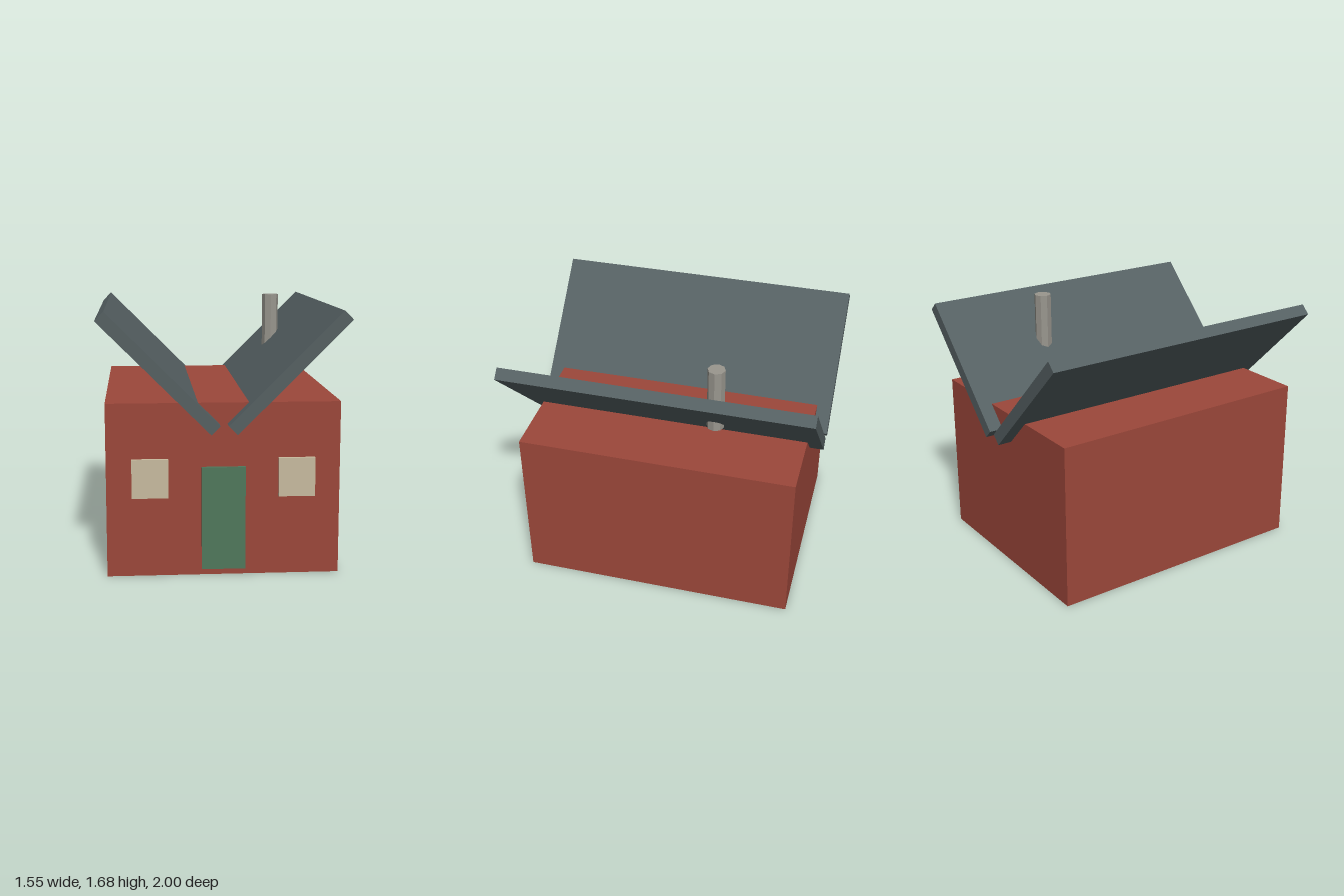
import * as THREE from 'three';

const mat = (color) => new THREE.MeshStandardMaterial({ color, flatShading: true });

export function createModel() {
  const house = new THREE.Group();
  house.name = 'house';

  const add = (name, geometry, material, x, y, z) => {
    const mesh = new THREE.Mesh(geometry, material);
    mesh.name = name;
    mesh.position.set(x, y, z);
    house.add(mesh);
    return mesh;
  };

  const brick = mat(0x9c473a);
  const slate = mat(0x556062);
  const green = mat(0x50785c);
  const cream = mat(0xc8bb9f);
  const stone = mat(0x99968e);

  // Walls
  add('walls', new THREE.BoxGeometry(1.45, 1.09, 1.814), brick, 0, 0.545, 0);

  // Door
  add('door', new THREE.BoxGeometry(0.272, 0.65, 0.024), green, 0, 0.365, 0.918);

  // Roof slabs open upward in a V; one window on each side of the door
  for (const [side, s] of [['left', 1], ['right', -1]]) {
    const slab = add(side + 'RoofSlab', new THREE.BoxGeometry(0.983, 0.078, 2), slate, s * 0.4, 1.278, 0);
    slab.rotation.z = s * Math.PI / 4;
    add(side + 'Window', new THREE.BoxGeometry(0.227, 0.243, 0.027), cream, s * 0.455, 0.622, 0.92);
  }

  // Chimney passing through the left roof slab
  add('chimney', new THREE.CylinderGeometry(0.057, 0.057, 0.436, 8), stone, 0.434, 1.458, -0.33);

  return house;
}
